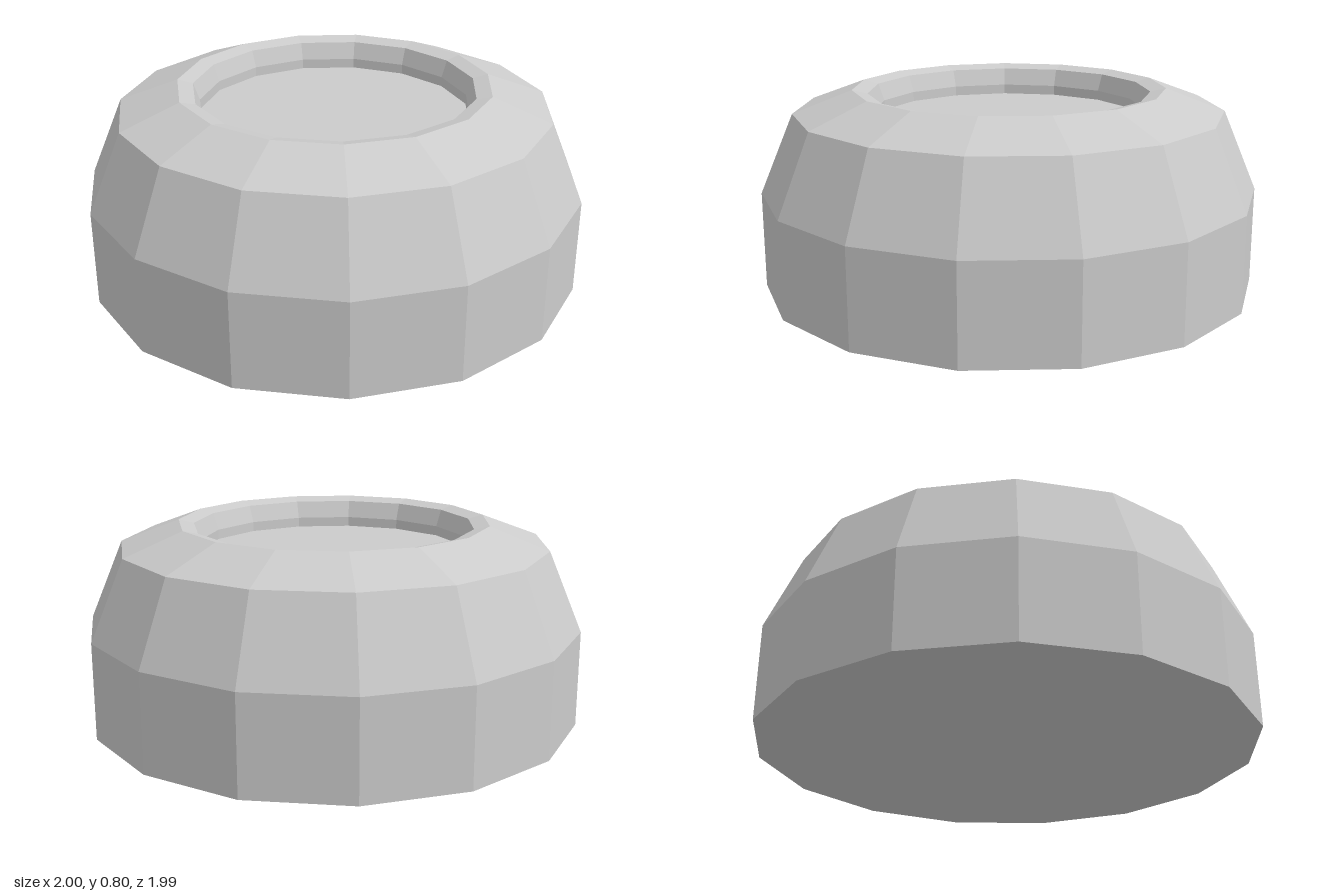
import * as THREE from 'three';

const SIDES = 15;

export function createModel() {
  const group = new THREE.Group();
  group.name = 'bowl';
  const material = new THREE.MeshStandardMaterial({ color: 0xcccccc, flatShading: true });

  // Revolve a [radius, height] profile, with one corner pointing to the back
  const addLathe = (name, profile) => {
    const points = profile.map(([r, y]) => new THREE.Vector2(r, y));
    const mesh = new THREE.Mesh(new THREE.LatheGeometry(points, SIDES, Math.PI), material);
    mesh.name = name;
    // An odd number of sides is deeper at the back, so shift to centre it
    mesh.position.z = 0.011;
    group.add(mesh);
  };

  // Flat base, straight wall and two shoulder bevels
  addLathe('body', [[0, 0], [1.0055, 0], [1.0055, 0.39], [0.87, 0.71], [0.632, 0.8]]);
  // Lip dipping slightly inward, then the sloped and upright inner wall
  addLathe('rim', [[0.632, 0.8], [0.57, 0.785], [0.545, 0.715], [0.545, 0.675]]);
  // Recessed floor
  addLathe('floor', [[0.545, 0.675], [0, 0.675]]);

  return group;
}
